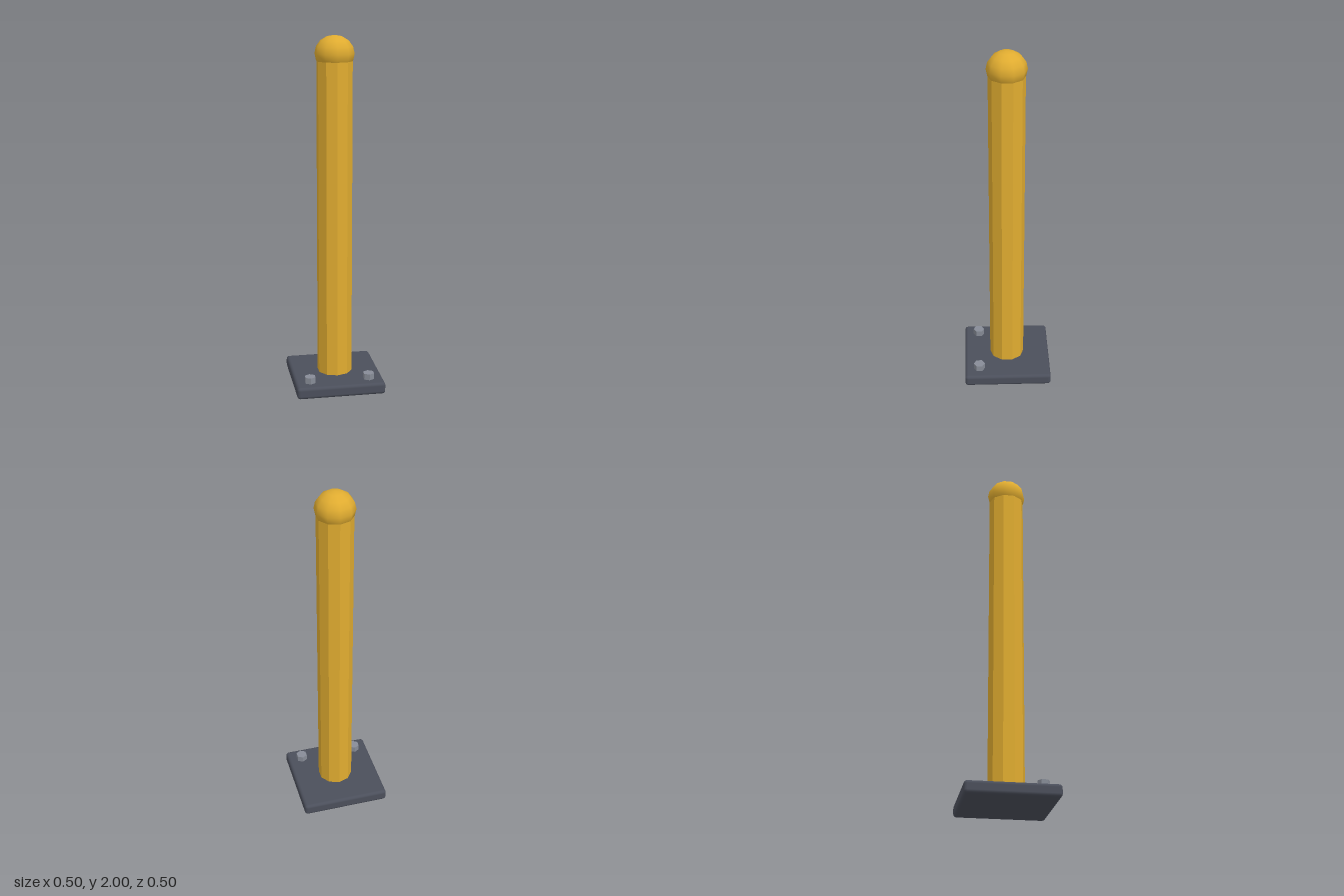
import * as THREE from 'three';
import { toCreasedNormals } from 'three/addons/utils/BufferGeometryUtils.js';
import { RoundedBoxGeometry } from 'three/addons/geometries/RoundedBoxGeometry.js';

function material(name, color) {
  const m = new THREE.MeshStandardMaterial({ color });
  m.name = name;
  return m;
}

export function createModel() {
  const yellow = material('yellowPaint', 0xe0ac30);
  const slate = material('slateMetal', 0x4b4f5b);
  const steel = material('boltSteel', 0x878c97);
  const model = new THREE.Group();
  model.name = 'bollard';

  function add(name, geometry, mat, x, y, z) {
    const mesh = new THREE.Mesh(geometry, mat);
    mesh.name = name;
    mesh.position.set(x, y, z);
    model.add(mesh);
    return mesh;
  }
  // Faceted prism standing on a given height
  const prism = (r, h, sides) =>
    toCreasedNormals(new THREE.CylinderGeometry(r, r, h, sides), 0.3).translate(0, h / 2, 0);

  // Base plate with softened edges
  add('basePlate', new RoundedBoxGeometry(0.505, 0.068, 0.505, 2, 0.018), slate, 0, 0.034, 0);

  // Ten-sided post
  add('post', prism(0.1, 1.83, 10), yellow, 0, 0.05, 0);

  // Smooth cap, slightly wider than the post and slightly flattened
  const cap = new THREE.SphereGeometry(0.11, 10, 8).rotateY(Math.PI / 2).scale(1, 0.1 / 0.11, 1);
  add('domeCap', cap, yellow, 0, 1.9, 0);

  // Two hexagonal bolts along the front
  for (const side of [1, -1]) {
    add(side > 0 ? 'leftBolt' : 'rightBolt', prism(0.033, 0.045, 6), steel, side * 0.169, 0.058, 0.168);
  }
  return model;
}
